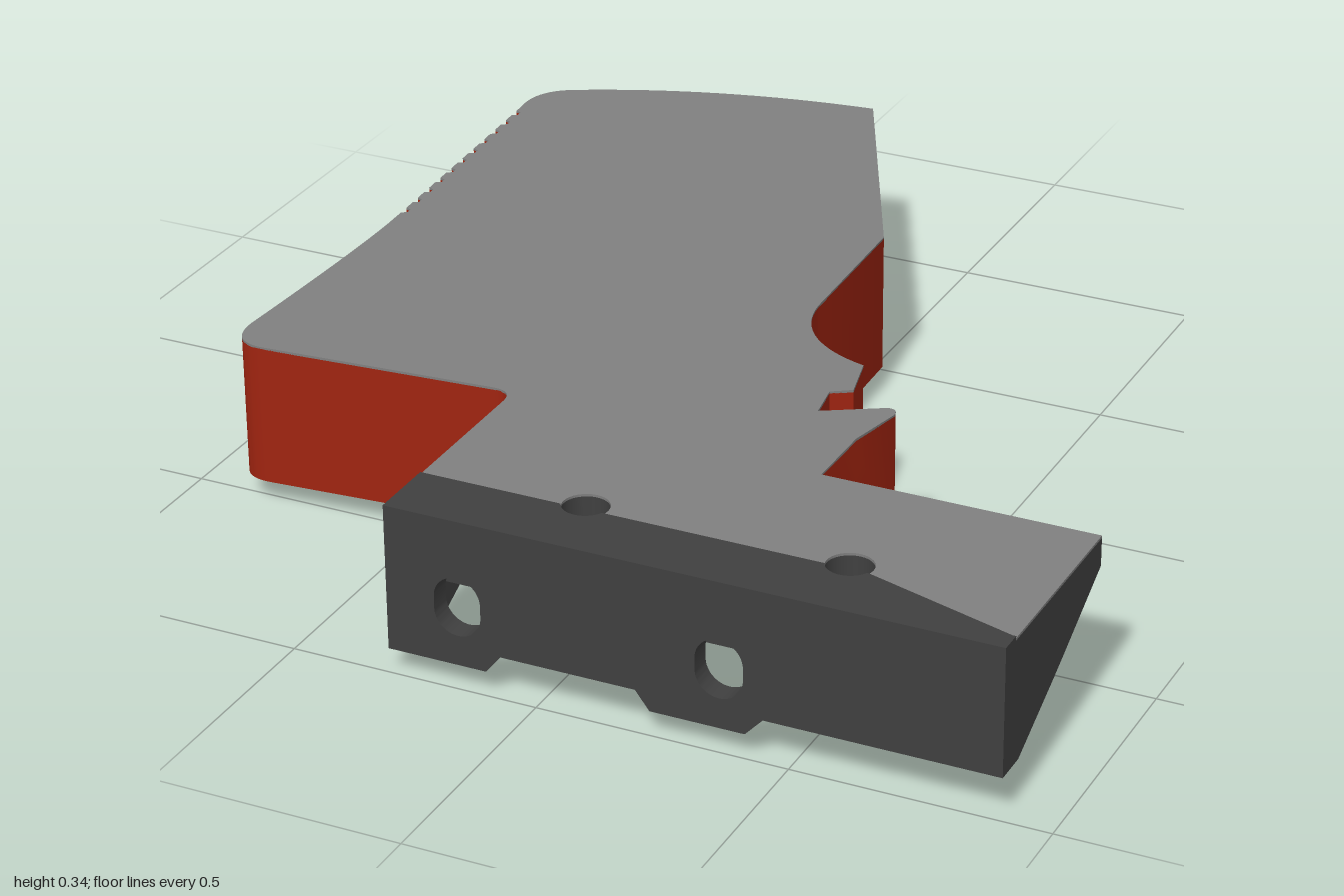
import * as THREE from 'three';
import { toCreasedNormals } from 'three/addons/utils/BufferGeometryUtils.js';

const mat = (color) => new THREE.MeshStandardMaterial({ color });
const grey = mat(0x808080), dark = mat(0x404040), red = mat(0xa02410);

const BOLT_X = [0.027, 0.545], BOLT_Z = 0.842, BOLT_R = 0.045; // vertical holes
const SLOT_X = [-0.155, 0.365]; // holes in the front plate

function mesh(name, geometry, material) {
  const m = new THREE.Mesh(toCreasedNormals(geometry, 0.5), material);
  m.name = name;
  return m;
}

function extrude(shape, depth) {
  return new THREE.ExtrudeGeometry(shape, { depth, bevelEnabled: false, curveSegments: 16 });
}

// Plan shape drawn in (x, -z), raised from y0 to y1
function slab(shape, y0, y1) {
  return extrude(shape, y1 - y0).rotateX(-Math.PI / 2).translate(0, y0, 0);
}

// Side profile of [z, y] points, run along x from x0 to x1
function run(points, x0, x1) {
  const shape = new THREE.Shape(points.map(([z, y]) => new THREE.Vector2(z, y)));
  return extrude(shape, x1 - x0).rotateY(-Math.PI / 2).translate(x1, 0, 0);
}

function rect(x0, x1, z0, z1) {
  return new THREE.Shape([[x0, z1], [x1, z1], [x1, z0], [x0, z0]].map(([x, z]) => new THREE.Vector2(x, -z)));
}

function drillBolts(shape) {
  for (const x of BOLT_X) {
    shape.holes.push(new THREE.Path().absarc(x, -BOLT_Z, BOLT_R, 0, Math.PI * 2, true));
  }
  return shape;
}

// Grip outline; with flange = true it also spans the mounting flange
function gripOutline(flange) {
  const s = new THREE.Shape();
  const L = (x, z) => s.lineTo(x, -z);
  const Q = (cx, cz, x, z) => s.quadraticCurveTo(cx, -cz, x, -z);
  s.moveTo(-0.225, 1);
  Q(-0.57, -0.965, -0.85, -0.82);
  Q(-0.915, -0.785, -0.91, -0.71);
  // Finger grooves along the back edge
  for (let i = 0; i < 11; i++) {
    const z = -0.67 + i * 0.053, x = -0.907 + i * 0.0026;
    L(x, z);
    L(x + 0.012, z + 0.004);
    L(x + 0.012, z + 0.018);
    L(x + 0.001, z + 0.024);
  }
  L(-0.878, -0.06);
  Q(-0.875, 0.1, -0.895, 0.45);
  Q(-0.897, 0.54, -0.82, 0.535);
  L(-0.345, 0.498);
  Q(-0.3, 0.495, -0.3, 0.54);
  if (flange) {
    L(-0.3, 0.957);
    L(0.905, 0.957);
    L(0.905, 0.555);
    L(0.36, 0.555);
  } else {
    L(-0.297, 0.56);
    L(-0.297, 0.71);
    L(0.36, 0.71);
  }
  L(0.36, 0.4);
  // Hook and notch
  L(0.385, 0.285);
  Q(0.385, 0.257, 0.362, 0.263);
  L(0.25, 0.328);
  L(0.237, 0.247);
  L(0.275, 0.222);
  L(0.25, 0.12);
  s.bezierCurveTo(0.13, -0.09, 0.065, -0.01, 0.065, 0.1);
  L(0.055, -0.42);
  return s;
}

function frontPlate() {
  const s = new THREE.Shape([
    [-0.3, 0.05], [-0.1, 0.05], [-0.07, 0.087], [0.2, 0.087], [0.228, 0.05],
    [0.415, 0.05], [0.45, 0.087], [0.905, 0.087], [0.905, 0.345], [-0.3, 0.345],
  ].map(([x, y]) => new THREE.Vector2(x, y)));
  for (const x of SLOT_X) {
    const p = new THREE.Path();
    p.absarc(x, 0.182, 0.047, 0, Math.PI, false);
    p.absarc(x, 0.158, 0.047, Math.PI, Math.PI * 2, false);
    p.closePath();
    s.holes.push(p);
  }
  return extrude(s, 0.045).translate(0, 0, 0.955);
}

// Raised strip whose back edge is bitten by the bolt holes
function topStrip() {
  const z = 0.86, a = Math.asin((z - BOLT_Z) / BOLT_R);
  const s = new THREE.Shape();
  s.moveTo(0.905, -z);
  for (const x of [...BOLT_X].reverse()) s.absarc(x, -BOLT_Z, BOLT_R, -a, -Math.PI + a, true);
  s.lineTo(-0.3, -z);
  s.lineTo(-0.3, -0.957);
  s.lineTo(0.905, -0.957);
  return slab(s, 0.338, 0.345);
}

export function createModel() {
  const model = new THREE.Group();
  model.add(mesh('gripBody', slab(gripOutline(false), 0.05, 0.337), red));
  model.add(mesh('topPlate', slab(drillBolts(gripOutline(true)), 0.336, 0.341), grey));

  // Mounting bracket: sloped rear, drilled middle, closed ends, drilled front
  const bracket = new THREE.Group();
  bracket.name = 'mountingBracket';
  bracket.add(mesh('bracketRear', run([[0.555, 0.28], [0.722, 0.19], [0.722, 0.336], [0.555, 0.336]], -0.3, 0.905), dark));
  bracket.add(mesh('bracketMiddle', slab(drillBolts(rect(-0.3, 0.905, 0.722, 0.955)), 0.19, 0.336), dark));
  const wedge = [[0.722, 0.19], [0.77, 0.165], [0.93, 0.087], [0.955, 0.087], [0.955, 0.19]];
  bracket.add(mesh('leftEndWedge', run(wedge, 0.66, 0.905), dark));
  bracket.add(mesh('rightEndWedge', run(wedge, -0.3, -0.23), dark));
  bracket.add(mesh('frontPlate', frontPlate(), dark));
  bracket.add(mesh('topStrip', topStrip(), dark));
  model.add(bracket);

  // Rounded rest under the grip
  const rest = new THREE.CylinderGeometry(0.135, 0.135, 0.315, 64).rotateX(Math.PI / 2);
  const restMesh = mesh('undersideRest', rest, grey);
  restMesh.position.set(-0.5, 0.135, 0.153);
  model.add(restMesh);
  return model;
}
